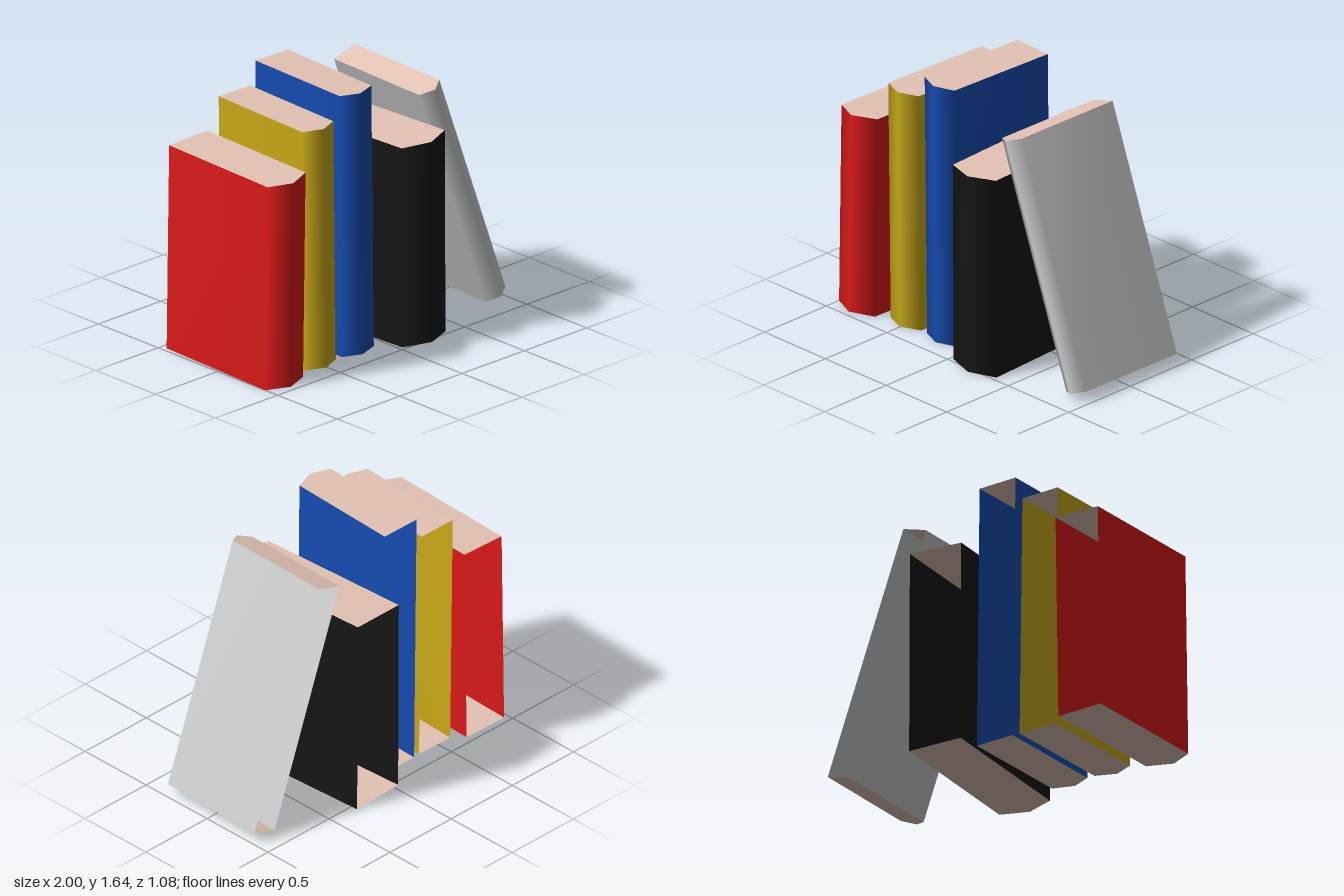
import * as THREE from 'three';

const PAGE_COLOR = 0xe4c3b5;

// Outlines run backRight, frontRight, spineTip, frontLeft, backLeft as [x, z] of the top end.
// top / bottom: [height at x = first outline's left side, slope along x]; shift: x offset of the bottom end.
const BOOKS = [
  { name: 'redBook', color: 0xdd1a1a, shift: -0.02, top: [1.265, 0.03], bottom: [0, 0],
    outline: [[-0.65, -0.455], [-0.68, 0.4], [-0.835, 0.46], [-0.98, 0.395], [-0.95, -0.46]] },
  { name: 'yellowBook', color: 0xcbaa18, shift: 0.02, top: [1.5, -0.01], bottom: [0, 0],
    outline: [[-0.37, -0.385], [-0.4, 0.34], [-0.525, 0.39], [-0.65, 0.34], [-0.62, -0.39]] },
  { name: 'blueBook', color: 0x164cb2, shift: 0.02, top: [1.64, -0.01], bottom: [0, 0],
    outline: [[-0.07, -0.385], [-0.1, 0.345], [-0.23, 0.39], [-0.35, 0.34], [-0.325, -0.39]] },
  { name: 'blackBook', color: 0x161616, shift: 0.005, top: [1.245, 0.04], bottom: [0, 0],
    outline: [[0.31, -0.545], [0.37, 0.47], [0.2, 0.535], [0.02, 0.475], [-0.04, -0.53]] },
  { name: 'leaningGreyBook', color: 0xcccccc, shift: 0.53, top: [1.465, 0.314], bottom: [0.02, 0.314],
    outline: [[0.465, -0.385], [0.45, 0.34], [0.37, 0.39], [0.288, 0.34], [0.305, -0.39]] },
];

function makeMesh(name, points, index, color) {
  const geometry = new THREE.BufferGeometry().setFromPoints(points);
  geometry.setIndex(index);
  geometry.computeVertexNormals();
  const mesh = new THREE.Mesh(geometry,
    new THREE.MeshStandardMaterial({ color, side: THREE.DoubleSide }));
  mesh.name = name;
  return mesh;
}

function makeBook({ name, color, shift, top, bottom, outline }) {
  const book = new THREE.Group();
  book.name = name;
  const left = Math.min(...outline.map(([x]) => x));
  const ring = ([y, slope], dx) =>
    outline.map(([x, z]) => new THREE.Vector3(x + dx, y + (x - left) * slope, z));
  const upper = ring(top, 0);
  const lower = ring(bottom, shift);
  const n = outline.length;

  // covers and spine: one smooth sheet wrapped round the front, open at the back
  const walls = [];
  for (let i = 0; i < n - 1; i++) {
    walls.push(i, i + 1, n + i + 1, i, n + i + 1, n + i);
  }
  book.add(makeMesh('coverAndSpine', [...upper, ...lower], walls, color));

  // page ends close the top and bottom
  const down = [];
  const up = [];
  for (let i = 1; i < n - 1; i++) {
    down.push(0, i, i + 1);
    up.push(0, i + 1, i);
  }
  book.add(makeMesh('topPages', upper, up, PAGE_COLOR));
  book.add(makeMesh('bottomPages', lower, down, PAGE_COLOR));
  return book;
}

export function createModel() {
  const model = new THREE.Group();
  model.name = 'bookRow';
  BOOKS.forEach((spec) => model.add(makeBook(spec)));
  return model;
}
